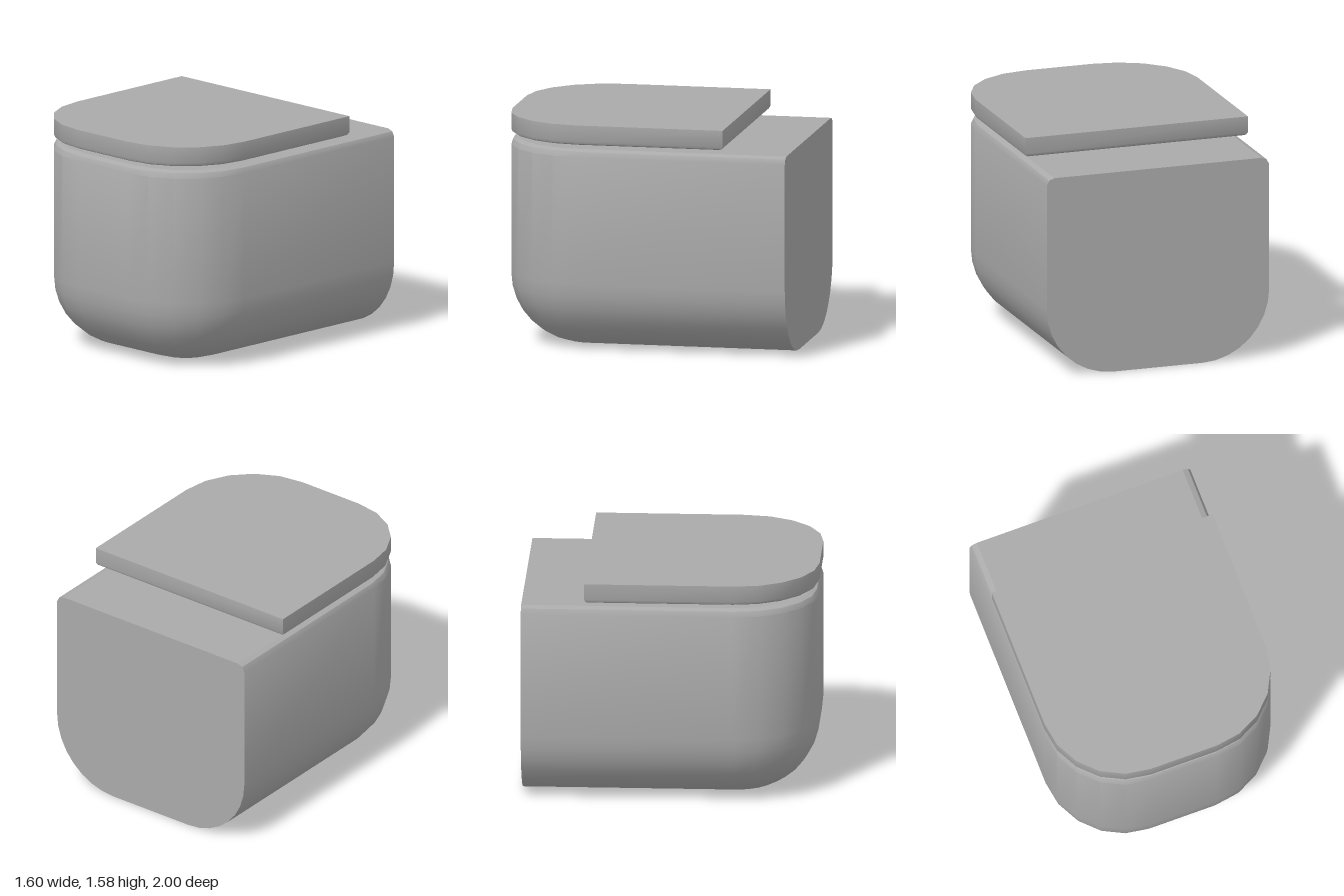
import * as THREE from 'three';
import { mergeGeometries, toCreasedNormals } from 'three/addons/utils/BufferGeometryUtils.js';

const HALF_WIDTH = 0.8, FRONT = 1, CORNER = 0.56, CORNER_STEPS = 5;

// D-shaped outline: straight back, two rounded front corners, shrunk by inset
function outline(y, inset, backZ) {
  const right = [new THREE.Vector3(HALF_WIDTH - inset, y, backZ)];
  const r = CORNER - inset;
  for (let i = 0; i <= CORNER_STEPS; i++) {
    const a = (i / CORNER_STEPS) * Math.PI / 2;
    right.push(new THREE.Vector3(HALF_WIDTH - CORNER + r * Math.cos(a), y, FRONT - CORNER + r * Math.sin(a)));
  }
  const left = right.map(p => new THREE.Vector3(-p.x, p.y, p.z)).reverse();
  return [...right, ...left];
}

const soup = points => new THREE.BufferGeometry().setFromPoints(points);

// Skin a stack of outlines from bottom to top, with smooth walls and flat caps
function loft(rings) {
  const walls = [], caps = [];
  const n = rings[0].length;
  for (let k = 0; k < rings.length - 1; k++) {
    const lo = rings[k], hi = rings[k + 1];
    for (let i = 0; i < n; i++) {
      const j = (i + 1) % n;
      walls.push(lo[i], hi[i], lo[j], lo[j], hi[i], hi[j]);
    }
  }
  const bottom = rings[0], top = rings[rings.length - 1];
  for (let i = 1; i < n - 1; i++) {
    caps.push(bottom[0], bottom[i], bottom[i + 1]);
    caps.push(top[0], top[i + 1], top[i]);
  }
  const capGeometry = soup(caps);
  capGeometry.computeVertexNormals();
  return mergeGeometries([toCreasedNormals(soup(walls), 0.55), capGeometry]);
}

export function createModel() {
  const model = new THREE.Group();
  model.name = 'wallHungToilet';
  const ceramic = new THREE.MeshStandardMaterial({ color: 0xaaaaaa });
  ceramic.name = 'grey ceramic';

  // Bowl: large fillet underneath, small rounded rim, flat back against the wall
  const bowlRings = [];
  const fillet = 0.48, steps = 8;
  for (let i = 0; i <= steps; i++) {
    const a = (i / steps) * Math.PI / 2;
    bowlRings.push(outline(fillet * (1 - Math.cos(a)), fillet * (1 - Math.sin(a)), -1));
  }
  for (const [y, inset] of [[1.355, 0], [1.39, 0.018], [1.404, 0.055]]) {
    bowlRings.push(outline(y, inset, -1));
  }
  const bowl = new THREE.Mesh(loft(bowlRings), ceramic);
  bowl.name = 'bowl';
  model.add(bowl);

  // Lid: slab floating just above the rim, lower edge softened all round
  const lidRings = [[1.438, 0.025], [1.446, 0.009], [1.464, 0], [1.575, 0]]
    .map(([y, inset]) => outline(y, inset, -0.57 + inset));
  const lid = new THREE.Mesh(loft(lidRings), ceramic);
  lid.name = 'lid';
  model.add(lid);

  return model;
}
